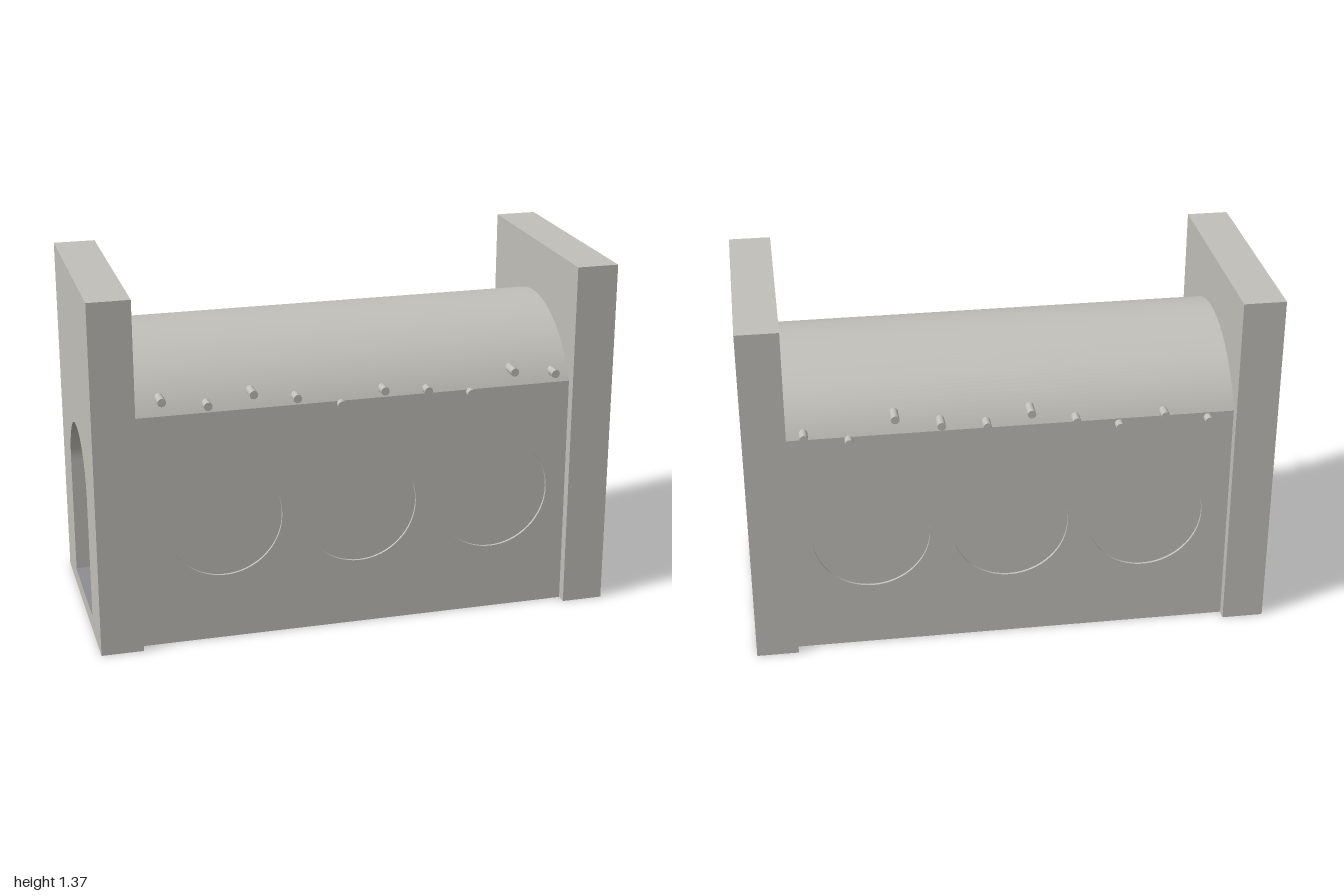
import * as THREE from 'three';
import { toCreasedNormals } from 'three/addons/utils/BufferGeometryUtils.js';

const stone = new THREE.MeshStandardMaterial({ color: 0xc2c0ba });
stone.name = 'paleStone';
const slate = new THREE.MeshStandardMaterial({ color: 0x8d8d93 });
slate.name = 'slateFloor';

const HALF = 0.84;        // half length of the tunnel between the end walls
const OUT = 0.4, INN = 0.33; // outer and inner faces of the side walls
const SPRING = 0.91;      // height where the roof starts
const ARC_Y = 0.715;      // centre height of the roof arc

const portholes = [-0.515, 0.01, 0.54];
const pegX = [-0.74, -0.57, -0.4, -0.235, -0.065, 0.1, 0.27, 0.44, 0.61, 0.775];
const frontPegY = [0.97, 0.94, 0.97, 0.94, 0.9, 0.94, 0.925, 0.9, 0.97, 0.95];
const backPegY = [0.89, 0.925, 0.89, 0.925, 0.97, 0.93, 0.945, 0.985, 0.9, 0.93];

function add(parent, name, geometry, material, x = 0, y = 0, z = 0) {
  const mesh = new THREE.Mesh(geometry, material);
  mesh.name = name;
  mesh.position.set(x, y, z);
  parent.add(mesh);
  return mesh;
}

function extrude(shape, depth) {
  const g = new THREE.ExtrudeGeometry(shape, { depth, bevelEnabled: false, curveSegments: 32 });
  g.translate(0, 0, -depth / 2);
  return toCreasedNormals(g, 0.4);
}

function rectangle(x0, y0, x1, y1) {
  const s = new THREE.Shape();
  s.moveTo(x0, y0);
  s.lineTo(x1, y0);
  s.lineTo(x1, y1);
  s.lineTo(x0, y1);
  s.closePath();
  return s;
}

// Slab with an arched doorway, lying across the x axis
function endWallGeometry() {
  const s = rectangle(-0.44, 0, 0.44, 1.367);
  const door = new THREE.Path();
  door.moveTo(-0.222, 0.066);
  door.lineTo(0.222, 0.066);
  door.lineTo(0.222, 0.54);
  door.absarc(0, 0.54, 0.222, 0, Math.PI, false);
  door.closePath();
  s.holes.push(door);
  return extrude(s, 1 - HALF).rotateY(Math.PI / 2);
}

// Curved vault of even thickness
function roofGeometry() {
  const r = 0.445, ri = 0.375;
  const a = Math.acos(OUT / r), b = Math.acos(INN / ri);
  const s = new THREE.Shape();
  s.absarc(0, ARC_Y, r, a, Math.PI - a, false);
  s.absarc(0, ARC_Y, ri, Math.PI - b, b, true);
  s.closePath();
  return extrude(s, 2 * HALF).rotateY(Math.PI / 2);
}

// Side wall pierced by three round openings
function sideWallGeometry() {
  const s = rectangle(-HALF, 0, HALF, SPRING);
  for (const x of portholes) {
    const hole = new THREE.Path();
    hole.absarc(x, 0.48, 0.223, 0, Math.PI * 2, true);
    s.holes.push(hole);
  }
  return extrude(s, OUT - INN);
}

export function createModel() {
  const model = new THREE.Group();
  model.name = 'tunnel';

  // End walls
  const endWall = endWallGeometry();
  add(model, 'leftEndWall', endWall, stone, (1 + HALF) / 2);
  add(model, 'rightEndWall', endWall, stone, -(1 + HALF) / 2);

  // Roof and floor, with thin floor strips over the doorway sills
  add(model, 'roof', roofGeometry(), stone);
  add(model, 'floor', new THREE.BoxGeometry(2 * HALF, 0.07, 2 * INN), slate, 0, 0.035);
  for (const side of [-1, 1]) {
    add(model, 'sill', new THREE.BoxGeometry(1 - HALF, 0.004, 0.444), slate, side * (1 + HALF) / 2, 0.068);
  }

  // Side walls with recessed round panels and a row of pegs
  const wall = sideWallGeometry();
  const disc = new THREE.CylinderGeometry(0.223, 0.223, 0.05, 64).rotateX(Math.PI / 2);
  const peg = new THREE.CylinderGeometry(0.016, 0.016, 0.07, 16).rotateX(Math.PI / 2);
  for (const [name, side, heights] of [['front', 1, frontPegY], ['back', -1, backPegY]]) {
    const group = new THREE.Group();
    group.name = name + 'Side';
    model.add(group);
    add(group, name + 'Wall', wall, stone, 0, 0, side * (OUT + INN) / 2);
    for (const x of portholes) add(group, 'roundPanel', disc, stone, x, 0.48, side * (OUT + INN) / 2);
    pegX.forEach((x, i) => add(group, 'peg', peg, stone, x, heights[i], side > 0 ? 0.39 : -0.4));
  }
  return model;
}
